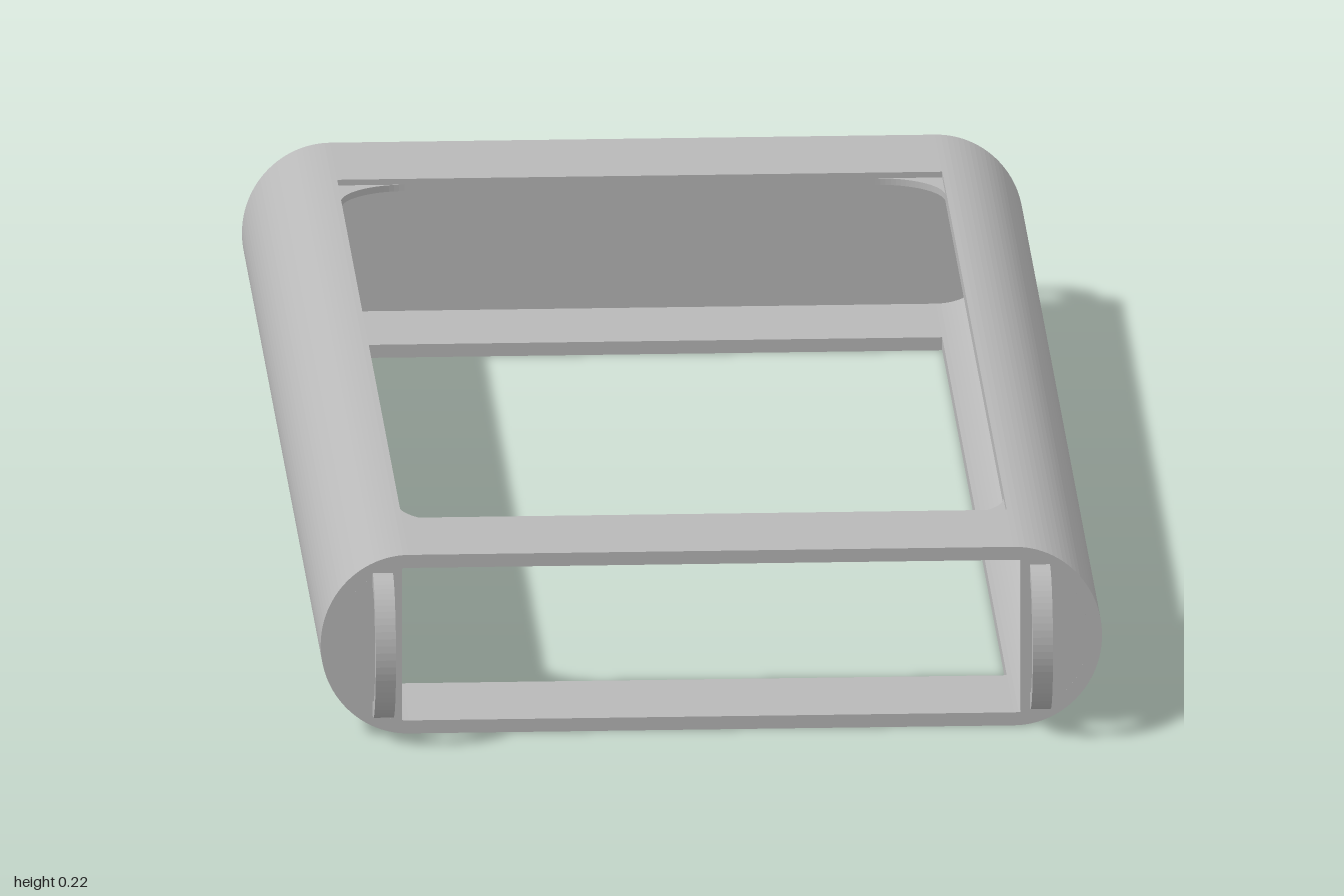
import * as THREE from 'three';

const H = 0.11;        // half height
const R = 0.105;       // sideways bulge of the rounded sides
const SIDE = 0.36;     // where the rounded sides begin
const END = 0.927;     // half length of the sleeve
const WINDOW = 0.76;   // half length of the window
const T = 0.016;       // wall thickness

export function createModel() {
  const gray = new THREE.MeshStandardMaterial({ color: 0xb8b8b8 });
  gray.name = 'plain gray';
  const model = new THREE.Group();
  model.name = 'sleeveCase';
  const body = new THREE.Group();
  body.name = 'body';
  body.position.y = H;
  model.add(body);

  const add = (name, geometry, x = 0, y = 0, z = 0, parent = body) => {
    const mesh = new THREE.Mesh(geometry, gray);
    mesh.name = name;
    mesh.position.set(x, y, z);
    parent.add(mesh);
    return mesh;
  };
  const extrude = (shape, depth, curveSegments = 24) =>
    new THREE.ExtrudeGeometry(shape, { depth, bevelEnabled: false, curveSegments });

  // Rounded side wall: a hollow half-ellipse running the full length
  const wall = new THREE.Shape();
  wall.moveTo(SIDE, -H);
  wall.absellipse(SIDE, 0, R, H, -Math.PI / 2, Math.PI / 2, false);
  wall.lineTo(SIDE, H - T);
  wall.absellipse(SIDE, 0, R - T, H - T, Math.PI / 2, -Math.PI / 2, true);
  wall.closePath();
  const wallGeo = extrude(wall, 2 * END);
  wallGeo.translate(0, 0, -END);

  // Half-ellipse cap closing the end of a side wall
  const cap = new THREE.Shape();
  cap.absellipse(SIDE, 0, R - T, H - T, -1.48, 1.48, false);
  cap.closePath();
  const capGeo = extrude(cap, T);

  // Strap loop: half-elliptical ring standing out from an end
  const loop = new THREE.Shape();
  loop.moveTo(-0.005, -0.088);
  loop.lineTo(0, -0.088);
  loop.absellipse(0, 0, 1 - END, 0.088, -Math.PI / 2, Math.PI / 2, false);
  loop.lineTo(-0.005, 0.088);
  loop.lineTo(-0.005, 0.07);
  loop.absellipse(0, 0, 0.055, 0.07, Math.PI / 2, -Math.PI / 2, true);
  loop.lineTo(-0.005, -0.07);
  loop.closePath();
  const loopGeo = extrude(loop, 0.024, 16);
  loopGeo.translate(0, 0, -0.012);
  loopGeo.rotateY(-Math.PI / 2);

  // The half turn about z gives the opposite side
  for (const side of ['left', 'right']) {
    const half = new THREE.Group();
    half.name = side + 'Side';
    half.rotation.z = side === 'left' ? 0 : Math.PI;
    body.add(half);
    add('roundedSideWall', wallGeo, 0, 0, 0, half);
    add('frontCap', capGeo, 0, 0, END - T, half);
    add('backCap', capGeo, 0, 0, -END, half);
    add('frontStrapLoop', loopGeo, 0.391, 0, END, half);
    add('backStrapLoop', loopGeo, 0.391, 0, -END, half).rotation.y = Math.PI;
  }

  // Flat strips above and below, at both ends of the windows
  const stripGeo = new THREE.BoxGeometry(2 * SIDE, T, END - WINDOW);
  for (const y of [1, -1]) {
    for (const z of [1, -1]) {
      add((y > 0 ? 'top' : 'bottom') + (z > 0 ? 'Front' : 'Back') + 'Strip',
        stripGeo, 0, y * (H - T / 2), z * (END + WINDOW) / 2);
    }
  }

  // Solid back panel; the front stays open
  add('backPanel', new THREE.BoxGeometry(2 * SIDE + 0.016, 2 * (H - T), T), 0, 0, -END + T / 2);

  // Concave fillets in the corners of the top window
  const a = 0.08;
  const fillet = new THREE.Shape();
  fillet.moveTo(0, 0);
  fillet.lineTo(a, 0);
  fillet.absarc(a, a, a, -Math.PI / 2, -Math.PI, true);
  fillet.closePath();
  const filletGeo = extrude(fillet, 0.008, 10);
  filletGeo.rotateX(Math.PI / 2);
  [[-1, -1], [-1, 1], [1, 1], [1, -1]].forEach(([x, z], i) => {
    add('windowCornerFillet', filletGeo, x * SIDE, H - 0.007, z * WINDOW).rotation.y = i * Math.PI / 2;
  });

  return model;
}
